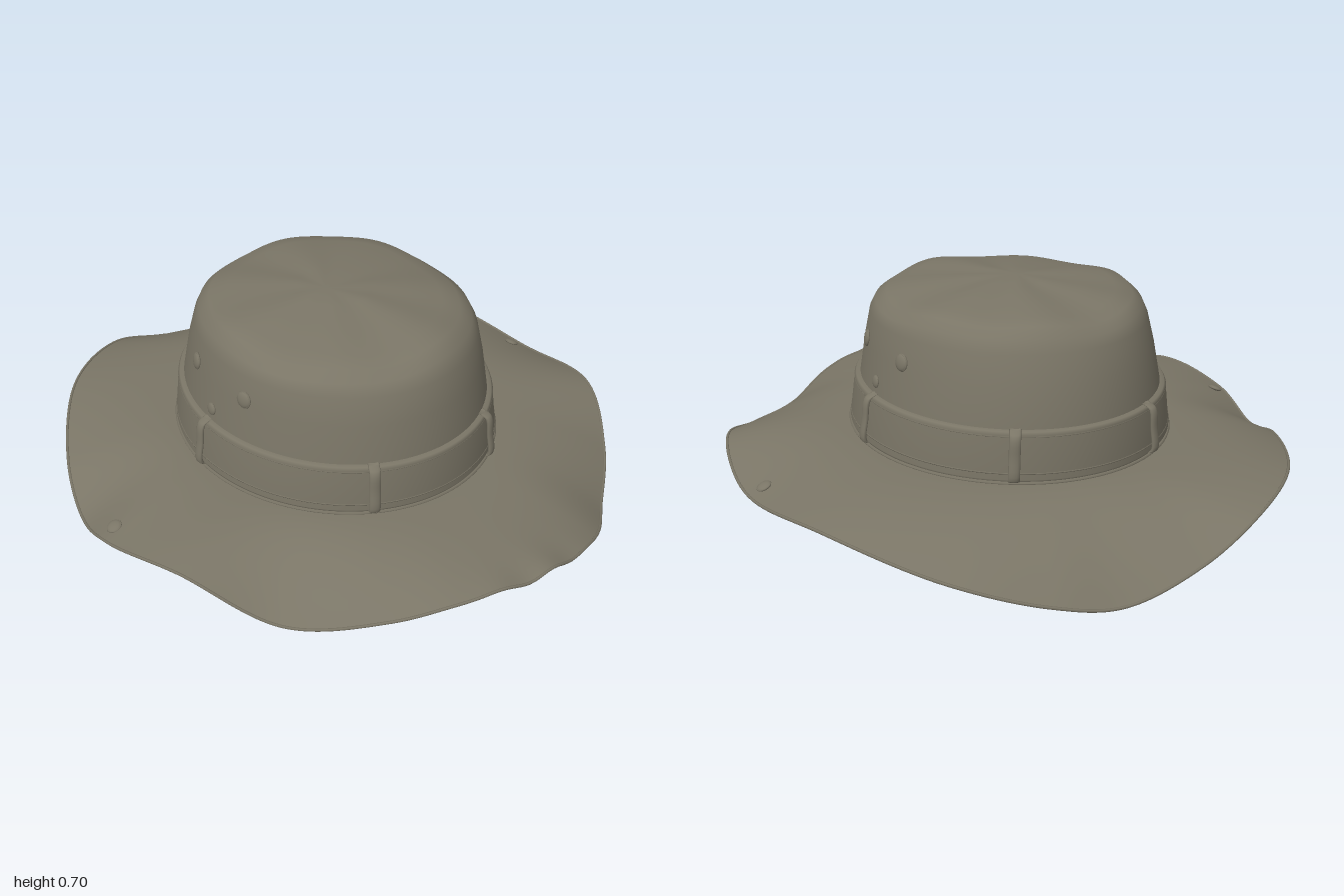
import * as THREE from 'three';

const SEG = 120;

// Smooth closed loft through rings of points; an optional tip closes the last ring.
function loft(rings, tip) {
  const n = rings[0].length, pos = [], idx = [];
  rings.forEach(r => r.forEach(p => pos.push(p.x, p.y, p.z)));
  for (let i = 0; i < rings.length - 1; i++) {
    for (let j = 0; j < n; j++) {
      const k = (j + 1) % n, a = i * n + j, b = i * n + k, c = b + n, d = a + n;
      idx.push(a, b, c, a, c, d);
    }
  }
  if (tip) {
    pos.push(tip.x, tip.y, tip.z);
    const base = (rings.length - 1) * n;
    for (let j = 0; j < n; j++) idx.push(base + j, base + (j + 1) % n, rings.length * n);
  }
  const g = new THREE.BufferGeometry();
  g.setAttribute('position', new THREE.Float32BufferAttribute(pos, 3));
  g.setIndex(idx);
  g.computeVertexNormals();
  return g;
}

// Crown profile: height, half width, half depth, centre z
const PROFILE = [
  [0.2, 0.512, 0.562, -0.015], [0.37, 0.487, 0.545, -0.018], [0.5, 0.465, 0.52, -0.015],
  [0.59, 0.447, 0.492, -0.012], [0.628, 0.43, 0.468, -0.015], [0.655, 0.395, 0.43, -0.02],
  [0.669, 0.34, 0.37, -0.02], [0.684, 0.24, 0.26, -0.02], [0.696, 0.12, 0.13, -0.02],
];

// Point on the crown wall at an angle (0 = front, 90 = +x) and height, pushed out by off
function wall(deg, y, off = 0) {
  let i = 0;
  while (i < PROFILE.length - 2 && PROFILE[i + 1][0] < y) i++;
  const A = PROFILE[i], B = PROFILE[i + 1], t = (y - A[0]) / (B[0] - A[0]);
  const [rx, rz, cz] = [1, 2, 3].map(k => A[k] + (B[k] - A[k]) * t);
  const a = THREE.MathUtils.degToRad(deg);
  return new THREE.Vector3(Math.sin(a) * (rx + off), y, Math.cos(a) * (rz + off) + cz);
}
const wallRing = (y, off) =>
  Array.from({ length: SEG }, (_, j) => wall(j * 360 / SEG, y, off));

// Brim edge: angle, radius, height
const EDGE = [
  [0, 0.99, 0.18], [18, 0.975, 0.12], [33, 0.925, 0.065], [50, 0.925, 0.09], [68, 0.94, 0.16],
  [90, 0.92, 0.11], [118, 0.935, 0.15], [143, 0.99, 0.1], [160, 1.0, 0.035], [172, 0.995, 0.006],
  [187, 0.995, 0.07], [200, 1.0, 0.15], [218, 0.97, 0.175], [243, 0.92, 0.13], [258, 0.915, 0.07],
  [272, 0.92, 0.13], [291, 0.9, 0.17], [312, 0.88, 0.05], [332, 0.93, 0.12], [345, 0.97, 0.18],
];
const edgeCurve = new THREE.CatmullRomCurve3(EDGE.map(([d, r, y]) => {
  const a = THREE.MathUtils.degToRad(d);
  return new THREE.Vector3(Math.sin(a) * r, y, Math.cos(a) * r);
}), true);

// Brim point: flat beside the crown, falling towards the wavy edge
function brimPoint(edge, s) {
  const deg = THREE.MathUtils.radToDeg(Math.atan2(edge.x, edge.z));
  const p = wall(deg, 0.21, 0.005).lerp(edge, s);
  p.y = 0.212 + (edge.y - 0.212) * Math.pow(s, 2);
  // small puckers at the front
  if (edge.z > 0) p.y += 0.01 * Math.sin(edge.x * 30) * Math.exp(-((edge.x / 0.2) ** 2)) * s ** 8;
  return p;
}

export function createModel() {
  const hat = new THREE.Group();
  hat.name = 'brimmedHat';
  const cloth = new THREE.MeshStandardMaterial({ color: 0x7a7566, side: THREE.DoubleSide });
  cloth.name = 'olive cloth';
  const add = (name, geo, parent = hat) => {
    const m = new THREE.Mesh(geo, cloth);
    m.name = name;
    parent.add(m);
    return m;
  };

  // Brim and its hem
  const edges = edgeCurve.getPoints(SEG * 2).slice(0, -1);
  const brimRings = [];
  for (let i = 0; i <= 16; i++) brimRings.push(edges.map(e => brimPoint(e, 1 - i / 16)));
  add('brim', loft(brimRings));
  const hem = new THREE.CatmullRomCurve3(edges.map(e => brimPoint(e, 1)), true);
  add('brimHem', new THREE.TubeGeometry(hem, 240, 0.005, 6, true));

  // Crown with a softly crumpled top
  const crownRings = PROFILE.map(([y, rx]) => {
    const ring = wallRing(y, 0), soft = THREE.MathUtils.smoothstep(y, 0.58, 0.66) * rx / 0.4;
    ring.forEach((p, j) => {
      const a = j / SEG * Math.PI * 2;
      p.y += soft * (0.007 * Math.sin(3 * a + 0.6) + 0.005 * Math.sin(7 * a));
    });
    return ring;
  });
  add('crown', loft(crownRings, new THREE.Vector3(-0.03, 0.703, -0.02)));

  // Hat band, with a seam at the foot and stitching near both edges
  add('band', loft([wallRing(0.215, 0.008), wallRing(0.225, 0.016), wallRing(0.365, 0.018),
    wallRing(0.374, 0.014), wallRing(0.376, 0)]));
  const seam = (name, y, off, r) => add(name, new THREE.TubeGeometry(
    new THREE.CatmullRomCurve3(wallRing(y, off), true), SEG, r, 5, true));
  seam('footSeam', 0.214, 0.014, 0.006);
  seam('lowerStitch', 0.245, 0.015, 0.003);
  seam('upperStitch', 0.36, 0.016, 0.003);

  // Belt loops: rounded strips standing off the band
  for (const deg of [27, 92, 152, 208, 268, 333]) {
    const rows = [[0.216, 0.006], [0.228, 0.026], [0.3, 0.029], [0.365, 0.028], [0.38, 0.006]];
    const path = new THREE.CatmullRomCurve3(rows.map(([y, off]) => wall(deg, y, off)));
    const loopRings = path.getPoints(16).map(p => {
      const a = THREE.MathUtils.degToRad(deg);
      const out = new THREE.Vector3(Math.sin(a), 0, Math.cos(a));
      const side = new THREE.Vector3(Math.cos(a), 0, -Math.sin(a));
      return Array.from({ length: 12 }, (_, j) => {
        const t = j / 12 * Math.PI * 2;
        return p.clone().addScaledVector(side, Math.sin(t) * 0.018)
          .addScaledVector(out, Math.cos(t) * 0.009);
      });
    });
    add('beltLoop', loft(loopRings));
  }

  // Domed metal fittings: a flattened disc with a raised ring
  const stud = (name, pos, normal, r) => {
    const g = new THREE.Group();
    g.name = name;
    const dome = add('dome', new THREE.SphereGeometry(r, 20, 12), g);
    dome.scale.z = 0.35;
    add('rim', new THREE.TorusGeometry(r * 0.92, r * 0.14, 6, 20), g);
    g.position.copy(pos);
    g.quaternion.setFromUnitVectors(new THREE.Vector3(0, 0, 1), normal.normalize());
    hat.add(g);
  };
  for (const s of [1, -1]) {
    for (const [z, y, r] of [[0.115, 0.515, 0.027], [-0.16, 0.515, 0.027], [-0.025, 0.415, 0.02]]) {
      const deg = THREE.MathUtils.radToDeg(Math.acos((z + 0.015) / 0.52));
      const p = wall(s * deg, y, 0.002);
      stud(r > 0.025 ? 'airVent' : 'sideButton', p,
        new THREE.Vector3(p.x / 0.216, 0.35, (p.z + 0.015) / 0.27), r);
    }
    // Brim snap on each side
    const target = s > 0 ? -0.05 : -0.015;
    const e = edges.filter(q => q.x * s > 0)
      .reduce((a, b) => Math.abs(a.z - target) < Math.abs(b.z - target) ? a : b);
    const p = brimPoint(e, 0.88), q = brimPoint(e, 0.8);
    p.y += 0.004;
    stud('brimSnap', p, new THREE.Vector3(q.y - p.y + 0.004, Math.abs(p.x - q.x), 0).multiply(
      new THREE.Vector3(s, 1, 1)), 0.024);
  }
  return hat;
}
